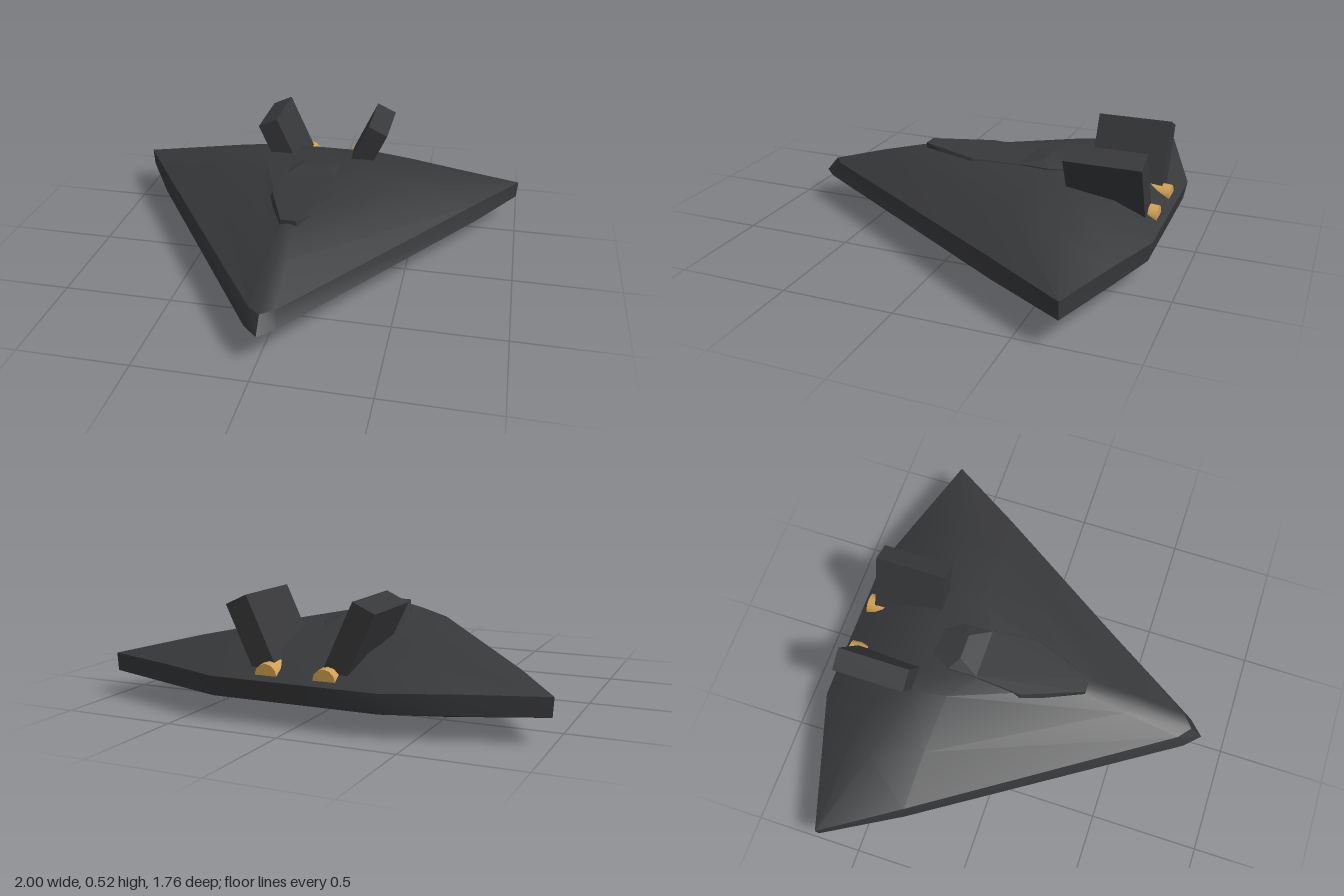
import * as THREE from 'three';
import { toCreasedNormals } from 'three/addons/utils/BufferGeometryUtils.js';
import { ConvexGeometry } from 'three/addons/geometries/ConvexGeometry.js';

const dark = new THREE.MeshStandardMaterial({ color: 0x37383a });
const brass = new THREE.MeshStandardMaterial({ color: 0xd0a050 });

function addMesh(parent, name, geometry, material) {
  const mesh = new THREE.Mesh(geometry, material);
  mesh.name = name;
  parent.add(mesh);
  return mesh;
}

// Each half ring runs nose -> left wing tip -> tail as [x, y, z]; mirror closes it
function closeRing(half) {
  const mirrored = half.slice(1, -1).reverse().map(([x, y, z]) => [-x, y, z]);
  return [...half, ...mirrored];
}

// Skins stacked rings from the top plateau to the flat belly, with both ends capped
function loftRings(rings) {
  const n = rings[0].length;
  const positions = rings.flat(2);
  const index = [];
  for (let i = 0; i < rings.length - 1; i++) {
    for (let j = 0; j < n; j++) {
      const k = (j + 1) % n;
      const a = i * n + j, b = a + n, c = (i + 1) * n + k, d = i * n + k;
      index.push(a, b, c, a, c, d);
    }
  }
  const top = positions.length / 3, bottom = top + 1, last = (rings.length - 1) * n;
  positions.push(0, 0.345, -0.1, 0, 0, -0.1);
  for (let j = 0; j < n; j++) {
    const k = (j + 1) % n;
    index.push(top, j, k, bottom, last + k, last + j);
  }
  const geometry = new THREE.BufferGeometry();
  geometry.setAttribute('position', new THREE.Float32BufferAttribute(positions, 3));
  geometry.setIndex(index);
  return toCreasedNormals(geometry, 0.55);
}

export function createModel() {
  const model = new THREE.Group();
  model.name = 'deltaWingCraft';

  // Delta hull: plateau, shoulder, upper rim, lower rim, chine, belly
  const hullRings = [
    [[0, 0.345, 0.3], [0.03, 0.345, 0.27], [0.25, 0.345, -0.3], [0.27, 0.34, -0.45],
      [0.2, 0.335, -0.5], [0.12, 0.335, -0.5], [0, 0.335, -0.5]],
    [[0, 0.28, 0.55], [0.05, 0.28, 0.5], [0.52, 0.285, -0.32], [0.62, 0.28, -0.55],
      [0.45, 0.285, -0.65], [0.25, 0.295, -0.68], [0, 0.295, -0.68]],
    [[0, 0.2, 0.82], [0.06, 0.2, 0.77], [0.78, 0.2, -0.33], [1, 0.19, -0.68],
      [0.65, 0.19, -0.79], [0.37, 0.185, -0.88], [0, 0.185, -0.88]],
    [[0, 0.13, 0.88], [0.07, 0.13, 0.81], [0.8, 0.12, -0.33], [0.995, 0.11, -0.68],
      [0.65, 0.105, -0.785], [0.37, 0.1, -0.865], [0, 0.1, -0.865]],
    [[0, 0.05, 0.5], [0.05, 0.05, 0.47], [0.72, 0.075, -0.31], [0.93, 0.098, -0.66],
      [0.6, 0.085, -0.74], [0.34, 0.08, -0.78], [0, 0.08, -0.78]],
    [[0, 0, 0.27], [0.03, 0, 0.25], [0.2, 0, -0.1], [0.27, 0, -0.34],
      [0.2, 0, -0.34], [0.1, 0, -0.34], [0, 0, -0.34]],
  ];
  addMesh(model, 'hull', loftRings(hullRings.map(closeRing)), dark);

  // Cockpit fairing and raised canopy: mirrored faceted solids
  const mirrorPoints = (pts) => pts.flatMap(([x, y, z]) =>
    [new THREE.Vector3(x, y, z), new THREE.Vector3(-x, y, z)]);
  addMesh(model, 'cockpitFairing', new ConvexGeometry(mirrorPoints([
    [0.035, 0.36, 0.3], [0.14, 0.352, 0.02], [0.12, 0.35, -0.22],
    [0.04, 0.31, 0.3], [0.16, 0.31, 0.02], [0.13, 0.31, -0.22],
  ])), dark);
  addMesh(model, 'canopy', new ConvexGeometry(mirrorPoints([
    [0.12, 0.35, -0.2], [0.06, 0.365, -0.3], [0.12, 0.345, -0.34], [0.06, 0.337, -0.43],
    [0.12, 0.31, -0.2], [0.12, 0.31, -0.34], [0.06, 0.31, -0.43],
  ])), dark);

  // Canted tail fins and exhaust nozzles, one pair per side
  for (const [side, sign] of [['left', 1], ['right', -1]]) {
    const fin = addMesh(model, side + 'Fin', new THREE.BoxGeometry(0.105, 0.36, 0.34), dark);
    fin.position.set(sign * 0.208, 0.332, -0.64);
    fin.rotation.z = -sign * 0.435;

    const nozzle = addMesh(model, side + 'Nozzle',
      new THREE.CylinderGeometry(0.05, 0.06, 0.14, 12), brass);
    nozzle.rotation.x = -Math.PI / 2;
    nozzle.position.set(sign * 0.13, 0.2, -0.78);
  }
  return model;
}
